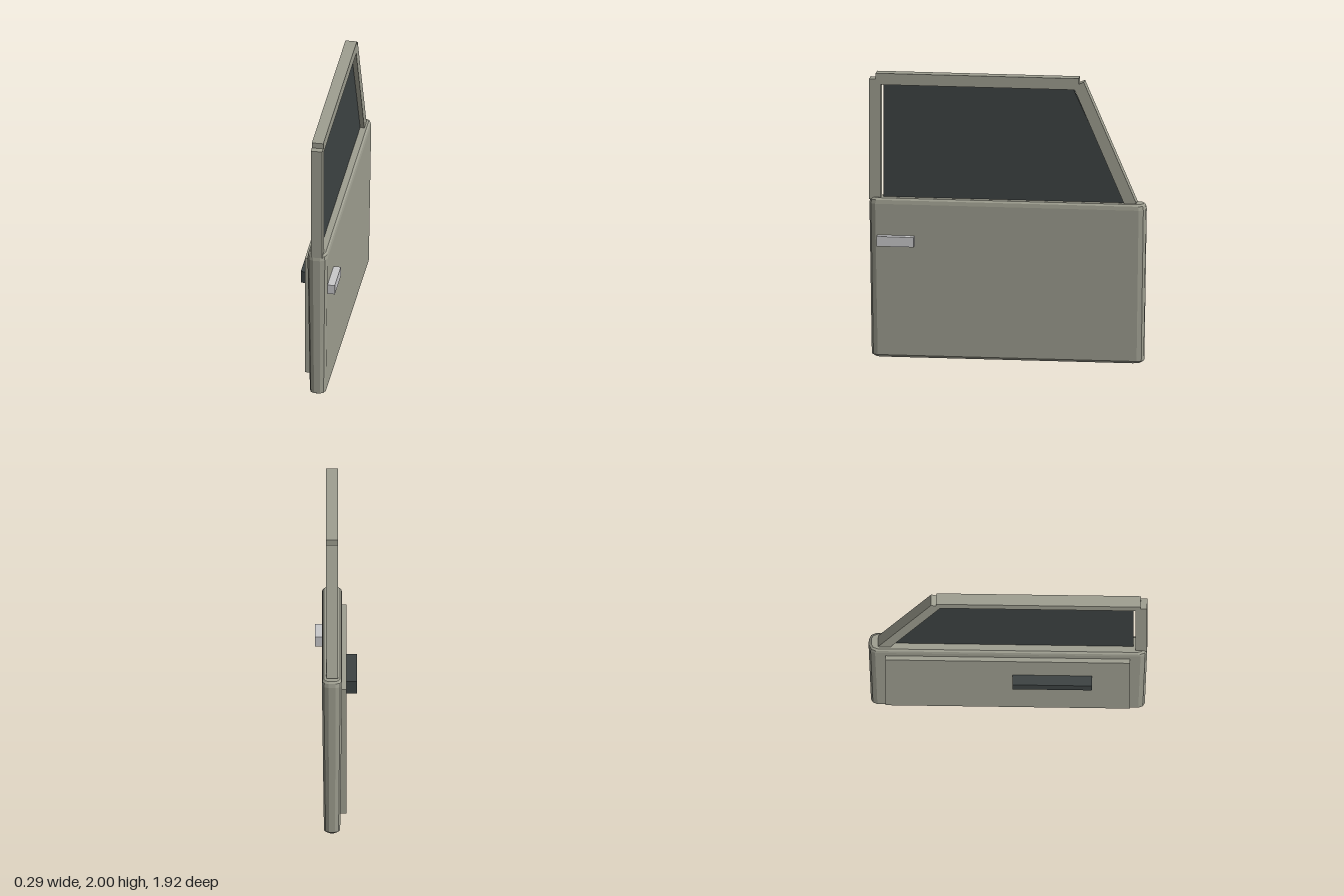
import * as THREE from 'three';

const CX = 0.025; // mid-plane of the door's thickness

function material(name, color) {
  const m = new THREE.MeshStandardMaterial({ color });
  m.name = name;
  return m;
}

// Stack of chamfered rectangles [y, halfX, halfZ] joined into a closed shell
function loftShell(sections) {
  const rings = sections.map(([y, hx, hz]) => {
    const corner = [[hx * 0.36, hz], [hx * 0.8, hz - 0.014], [hx, hz - 0.045]];
    const back = corner.map(([x, z]) => [x, -z]).reverse();
    const half = [...corner, ...back];
    const full = [...half, ...half.map(([x, z]) => [-x, -z])];
    return full.map(([x, z]) => new THREE.Vector3(x + CX, y, z));
  });
  const points = [];
  const n = rings[0].length;
  for (let r = 0; r < rings.length - 1; r++) {
    for (let i = 0; i < n; i++) {
      const j = (i + 1) % n;
      const [a, b, c, d] = [rings[r][i], rings[r][j], rings[r + 1][j], rings[r + 1][i]];
      points.push(a, b, c, a, c, d);
    }
  }
  const bottom = rings[0], top = rings[rings.length - 1];
  for (let i = 1; i < n - 1; i++) {
    points.push(bottom[0], bottom[i + 1], bottom[i], top[0], top[i], top[i + 1]);
  }
  const geometry = new THREE.BufferGeometry().setFromPoints(points);
  geometry.computeVertexNormals();
  return geometry;
}

export function createModel() {
  const door = new THREE.Group();
  door.name = 'vehicleDoor';
  const paint = material('greyGreenPaint', 0x9e9e90);
  const dark = material('darkGlassAndTrim', 0x3d4343);
  const metal = material('paleMetal', 0xc8c8ca);
  paint.flatShading = true;

  const add = (name, geometry, mat) => {
    const mesh = new THREE.Mesh(geometry, mat);
    mesh.name = name;
    door.add(mesh);
    return mesh;
  };
  // Box given by its limits on each axis
  const box = (name, mat, [x0, x1], [y0, y1], [z0, z1]) => {
    const mesh = add(name, new THREE.BoxGeometry(x1 - x0, y1 - y0, z1 - z0), mat);
    mesh.position.set((x0 + x1) / 2, (y0 + y1) / 2, (z0 + z1) / 2);
    return mesh;
  };

  // Lower door, slightly wider at the waist, with bevelled edges
  add('lowerDoor', loftShell([
    [0, 0.036, 0.915],
    [0.018, 0.056, 0.944],
    [1.085, 0.07, 0.96],
    [1.112, 0.066, 0.955],
    [1.125, 0.054, 0.942],
  ]), paint);

  // Window frame
  const frameX = [-0.015, 0.065];
  box('rearPost', paint, frameX, [1.11, 1.96], [0.88, 0.96]);
  box('topRail', paint, frameX, [1.92, 2.0], [-0.495, 0.915]);
  const top = new THREE.Vector3(CX, 1.96, -0.493);
  const foot = new THREE.Vector3(CX, 1.115, -0.858);
  const post = add('slantedPost', new THREE.BoxGeometry(0.08, top.distanceTo(foot), 0.08), paint);
  post.position.copy(top).add(foot).multiplyScalar(0.5);
  post.rotation.x = Math.atan2(top.z - foot.z, top.y - foot.y);

  // Window pane, drawn in (-z, y) and turned into the door plane
  const pane = new THREE.Shape([[-0.865, 1.12], [0.82, 1.12], [0.452, 1.925], [-0.865, 1.925]]
    .map(([u, v]) => new THREE.Vector2(u, v)));
  const glass = new THREE.ExtrudeGeometry(pane, { depth: 0.02, bevelEnabled: false });
  glass.rotateY(Math.PI / 2);
  glass.translate(CX - 0.01, 0, 0);
  add('windowPane', glass, dark);

  // Inner trim and outer handle
  box('innerPanel', paint, [-0.075, -0.02], [0.118, 1.03], [-0.842, 0.842]);
  box('armrest', dark, [-0.148, -0.07], [0.675, 0.763], [0.033, 0.58]);
  box('outerHandle', metal, [0.07, 0.143], [0.795, 0.865], [0.643, 0.9]);

  return door;
}
